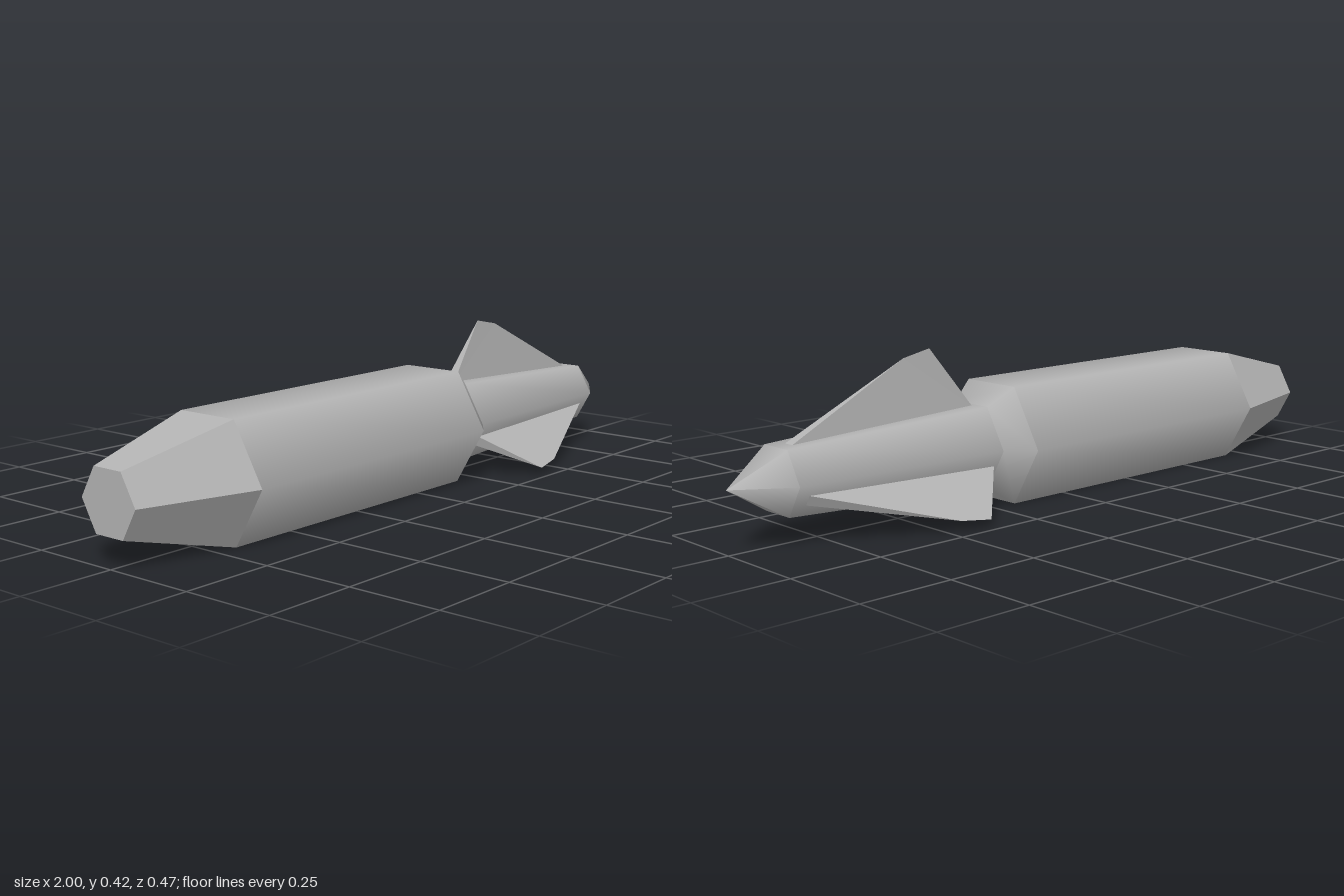
import * as THREE from 'three';

const AXIS_Y = 0.156;

export function createModel() {
  const group = new THREE.Group();
  const grey = new THREE.MeshStandardMaterial({ color: 0xb2b2b2 });
  grey.name = 'grey metal';

  const add = (name, geometry) => {
    const mesh = new THREE.Mesh(geometry, grey);
    mesh.name = name;
    mesh.position.y = AXIS_Y;
    group.add(mesh);
    return mesh;
  };

  // Six-sided section along x, smooth around unless faceted
  const section = (name, x0, r0, x1, r1, faceted = false) => {
    let g = new THREE.CylinderGeometry(r1, r0, x1 - x0, 6, 1, !faceted);
    g.rotateZ(-Math.PI / 2);
    g.translate((x0 + x1) / 2, 0, 0);
    if (faceted) {
      g = g.toNonIndexed();
      g.computeVertexNormals();
    }
    add(name, g);
  };

  section('tail', -1, 0.092, -0.69, 0.18, true);
  section('mainBody', -0.69, 0.18, 0.18, 0.18);
  section('shoulder', 0.18, 0.18, 0.25, 0.125);
  section('neck', 0.25, 0.125, 0.86, 0.094);
  section('noseCone', 0.86, 0.094, 1, 0);

  // Wedge fin: thick root tapering to a knife-edge ridge
  const t = 0.015;
  const corners = [
    [0.26, 0.105, t], [0.26, 0.105, -t],
    [0.83, 0.08, t], [0.83, 0.08, -t],
    [0.39, 0.269, 0], [0.475, 0.252, 0],
  ];
  const faces = [
    0, 2, 5, 0, 5, 4, // +z side
    1, 5, 3, 1, 4, 5, // -z side
    0, 4, 1, 2, 3, 5, // rear and front
    0, 1, 3, 0, 3, 2, // root
  ];
  const fin = new THREE.BufferGeometry();
  fin.setAttribute('position', new THREE.Float32BufferAttribute(faces.flatMap((i) => corners[i]), 3));
  fin.computeVertexNormals();

  // Three fins spaced evenly around the neck
  ['topFin', 'frontFin', 'backFin'].forEach((name, i) => {
    add(name, fin).rotation.x = (i * Math.PI * 2) / 3;
  });

  return group;
}
